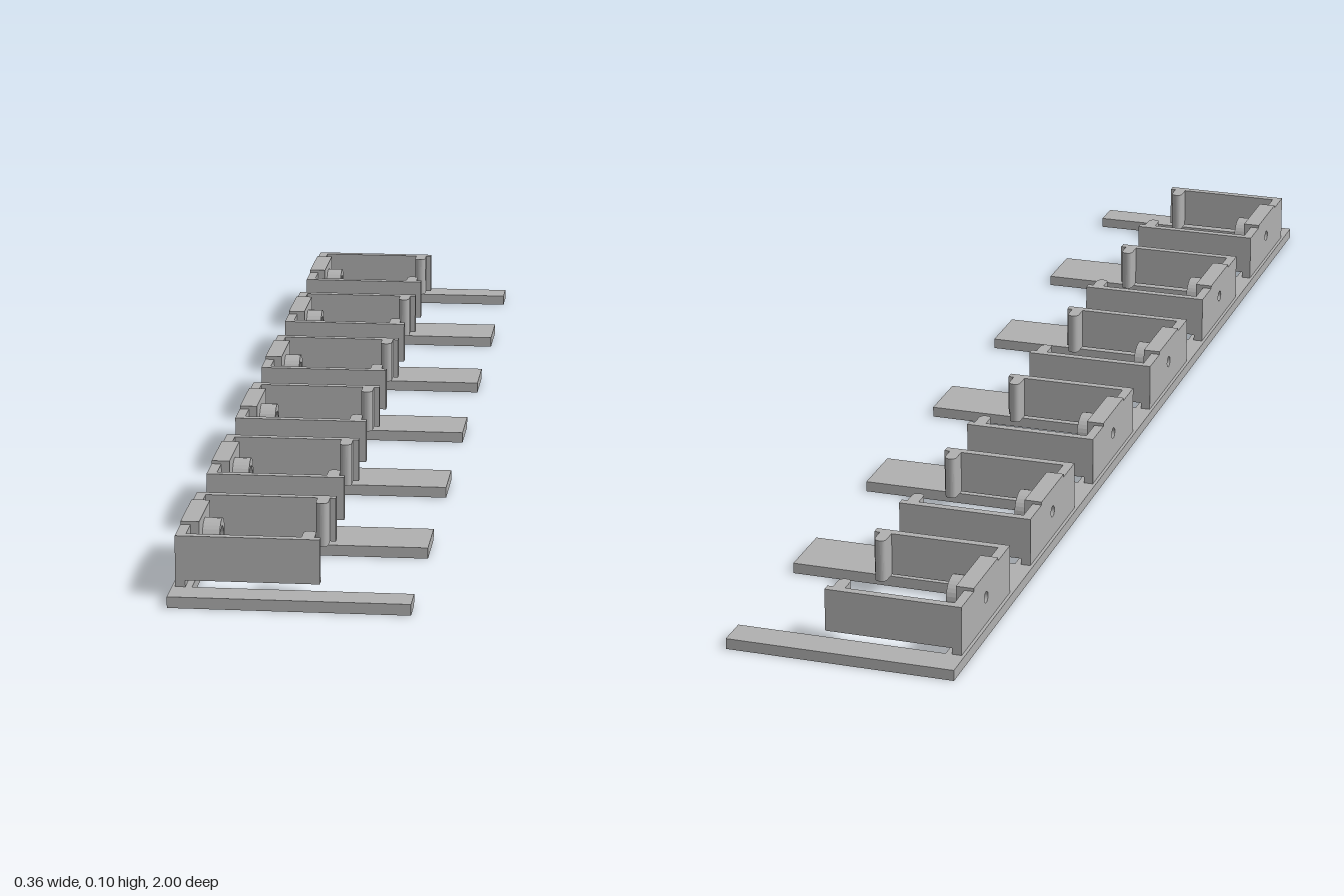
import * as THREE from 'three';

const grey = new THREE.MeshStandardMaterial({ color: 0xb0b0b0 });
grey.name = 'grey plastic';

function add(group, name, geometry) {
  const mesh = new THREE.Mesh(geometry, grey);
  mesh.name = name;
  group.add(mesh);
  return mesh;
}

// Box given by its limits on each axis
function box(group, name, x0, x1, y0, y1, z0, z1) {
  const mesh = add(group, name, new THREE.BoxGeometry(x1 - x0, y1 - y0, z1 - z0));
  mesh.position.set((x0 + x1) / 2, (y0 + y1) / 2, (z0 + z1) / 2);
}

// Plan outline (x, -z) raised from y0 to y1
function raise(shape, y0, y1) {
  const g = new THREE.ExtrudeGeometry(shape, { depth: y1 - y0, bevelEnabled: false, curveSegments: 8 });
  return g.rotateX(-Math.PI / 2).translate(0, y0, 0);
}

// Wall outline (-z, y) given thickness along x, with a round screw hole
function drilledWall(halfWidth, y0, y1, x0, x1) {
  const shape = new THREE.Shape([
    [-halfWidth, y0], [halfWidth, y0], [halfWidth, y1], [-halfWidth, y1],
  ].map(p => new THREE.Vector2(...p)));
  shape.holes.push(new THREE.Path().absarc(0, 0.06, 0.009, 0, Math.PI * 2, true));
  const g = new THREE.ExtrudeGeometry(shape, { depth: x1 - x0, bevelEnabled: false, curveSegments: 16 });
  return g.rotateY(Math.PI / 2).translate(x0, 0, 0);
}

// Comb base: a spine with seven fingers
function combShape() {
  const pts = [[-0.18, -1], [0.178, -1]];
  for (let i = 0; i < 6; i++) {
    const c = -0.8333 + i / 3;
    pts.push([0.178, c - 0.116], [-0.15, c - 0.116], [-0.15, c + 0.116], [0.178, c + 0.116]);
  }
  pts.push([0.178, 1], [-0.18, 1]);
  return new THREE.Shape(pts.map(p => new THREE.Vector2(...p)));
}

// Spring arm with a round-tipped catch near its free end
function armShape(side) {
  const s = new THREE.Shape();
  s.moveTo(-0.175, side * 0.116);
  s.lineTo(0.039, side * 0.116);
  s.lineTo(0.039, side * 0.103);
  s.lineTo(0.03, side * 0.103);
  s.lineTo(0.03, side * 0.082);
  s.quadraticCurveTo(0.029, side * 0.072, 0.02, side * 0.072);
  s.quadraticCurveTo(0.011, side * 0.072, 0.011, side * 0.082);
  s.lineTo(0.011, side * 0.103);
  s.lineTo(-0.175, side * 0.103);
  return s;
}

// Hollow socket pointing along +x
function socketGeometry() {
  const profile = [[0.017, 0], [0.029, 0], [0.029, 0.026], [0.017, 0.026], [0.017, 0]];
  const g = new THREE.LatheGeometry(profile.map(p => new THREE.Vector2(...p)), 28).toNonIndexed();
  g.computeVertexNormals();
  return g.rotateZ(-Math.PI / 2).translate(-0.147, 0.06, 0);
}

function createClip() {
  const clip = new THREE.Group();
  clip.name = 'clip';
  add(clip, 'backWall', drilledWall(0.104, 0.017, 0.095, -0.175, -0.16));
  add(clip, 'socketBlock', drilledWall(0.058, 0.017, 0.095, -0.16, -0.147));
  box(clip, 'topLip', -0.175, -0.147, 0.095, 0.1, -0.058, 0.058);
  add(clip, 'socket', socketGeometry());
  for (const side of [-1, 1]) {
    add(clip, 'springArm', raise(armShape(side), 0.027, 0.095));
    // foot joining the arm's root to the spine
    const z = side * 0.11;
    box(clip, 'armFoot', -0.175, -0.16, 0.017, 0.027, z - 0.006, z + 0.006);
  }
  return clip;
}

export function createModel() {
  const model = new THREE.Group();
  model.name = 'clipRack';
  add(model, 'combBase', raise(combShape(), 0, 0.017));
  for (let i = 0; i < 6; i++) {
    const clip = createClip();
    clip.position.z = -0.8333 + i / 3;
    model.add(clip);
  }
  return model;
}
